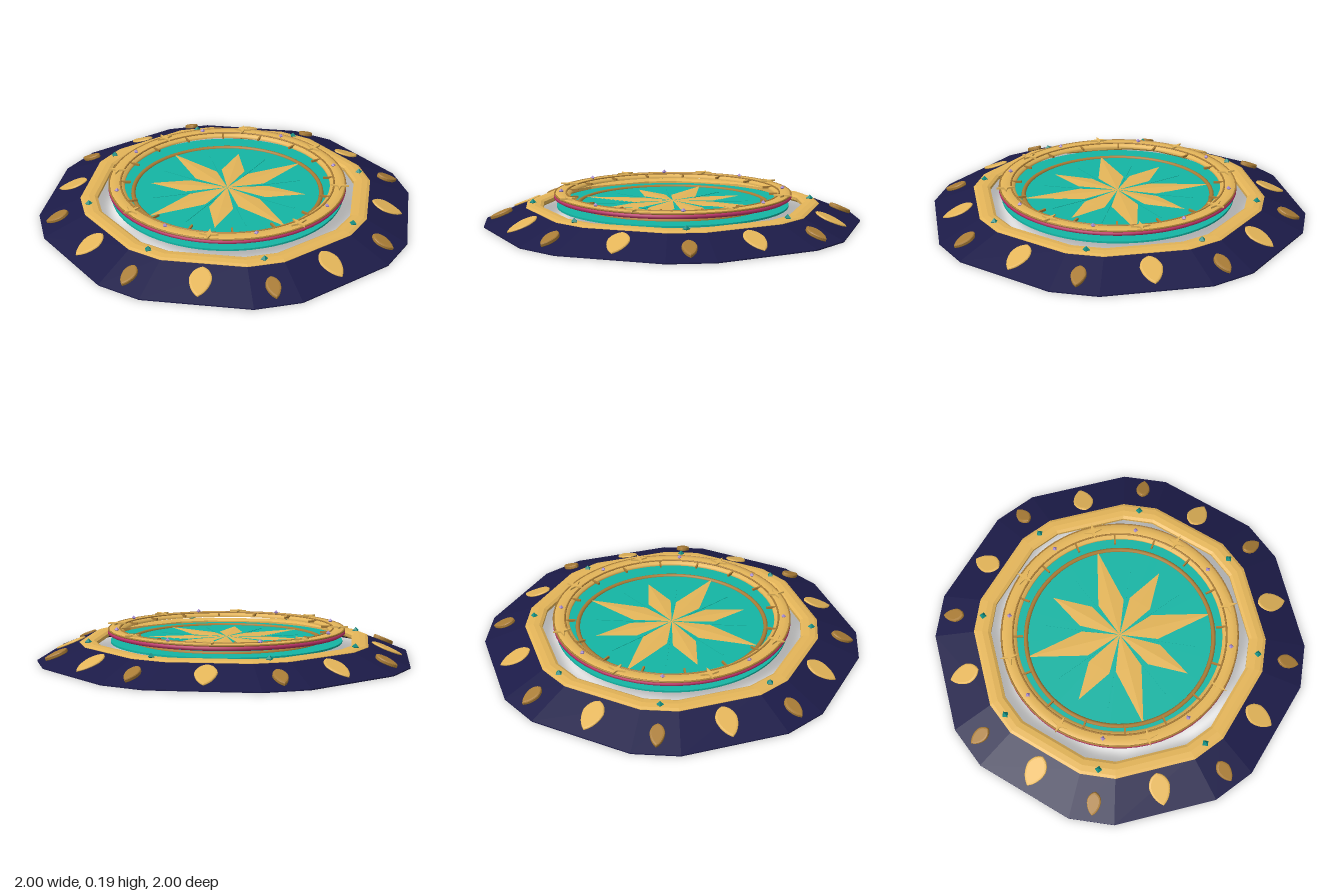
import * as THREE from 'three';

const mat = (name, color) => new THREE.MeshStandardMaterial({ name, color });

export function createModel() {
  const root = new THREE.Group();
  const gold = mat('gold', 0xe4b559);
  const bronze = mat('bronze', 0xa97c36);
  const navy = mat('navy', 0x1c1b48);
  const teal = mat('teal', 0x14b5a4);
  const darkTeal = mat('dark teal', 0x0f8d82);
  const crimson = mat('crimson', 0xbc3468);
  const mauve = mat('mauve', 0xa78bd0);

  const add = (name, geo, material, parent = root) => {
    const m = new THREE.Mesh(geo, material);
    m.name = name;
    parent.add(m);
    return m;
  };
  // Runs fn for n evenly spaced spokes; each spoke group points outward along +z
  const spokes = (name, n, offset, fn) => {
    for (let i = 0; i < n; i++) {
      const g = new THREE.Group();
      g.name = name;
      g.rotation.y = ((i + offset) * Math.PI * 2) / n;
      root.add(g);
      fn(g, i);
    }
  };
  const flat = (points) => {
    const g = new THREE.BufferGeometry();
    g.setAttribute('position', new THREE.Float32BufferAttribute(points.flat(), 3));
    g.computeVertexNormals();
    return g;
  };

  // Ring with the outline of an octagon with cut corners; profile is [apothem, y], anticlockwise
  const half = THREE.MathUtils.degToRad(15.7);
  const angles = [];
  for (let i = 0; i < 8; i++) angles.push((i * Math.PI) / 4 - half, (i * Math.PI) / 4 + half);
  const octRing = (profile) => {
    const out = [];
    const at = (i, j) => {
      const [r, y] = profile[i % profile.length];
      const a = angles[j % 16], R = r / Math.cos(half);
      return [R * Math.sin(a), y, R * Math.cos(a)];
    };
    for (let i = 0; i < profile.length; i++) {
      for (let j = 0; j < 16; j++) {
        const a = at(i, j), b = at(i, j + 1), c = at(i + 1, j + 1), d = at(i + 1, j);
        out.push(a, b, c, a, c, d);
      }
    }
    return flat(out);
  };
  const lathe = (pts) =>
    new THREE.LatheGeometry([...pts, pts[0]].map(([r, y]) => new THREE.Vector2(r, y)), 64);
  const hoop = (name, r, tube, y, material) => {
    const m = add(name, new THREE.TorusGeometry(r, tube, 8, 72), material);
    m.rotation.x = Math.PI / 2;
    m.position.y = y;
  };
  // Thin rod running round a closed outline
  const outline = (pts, radius) => {
    const path = new THREE.CurvePath();
    pts.forEach((p, i) => path.add(new THREE.LineCurve3(p, pts[(i + 1) % pts.length])));
    return new THREE.TubeGeometry(path, 48, radius, 5, true);
  };

  // Sloping base and its raised inner border
  add('slopingBase', octRing([[1, 0], [1, 0.006], [0.76, 0.106], [0.76, 0.096], [0.98, 0]]), navy);
  add('innerBorder', octRing([
    [0.78, 0.08], [0.78, 0.1], [0.765, 0.107], [0.735, 0.111],
    [0.705, 0.108], [0.69, 0.099], [0.69, 0.083], [0.705, 0.07], [0.735, 0.066],
  ]), gold);

  // Leaf studs lying on the slope, pointed end outward (-y of the shape)
  const slope = Math.atan2(0.1, 0.24);
  const leafShape = (w, l) => {
    const s = new THREE.Shape();
    s.moveTo(0, -l);
    s.bezierCurveTo(w * 0.6, -l * 0.75, w, -l * 0.2, w, l * 0.25);
    s.quadraticCurveTo(w * 0.8, l * 0.85, 0, l);
    s.quadraticCurveTo(-w * 0.8, l * 0.85, -w, l * 0.25);
    s.bezierCurveTo(-w, -l * 0.2, -w * 0.6, -l * 0.75, 0, -l);
    return s;
  };
  const leafGeo = (w, l, depth) => new THREE.ExtrudeGeometry(leafShape(w - 0.01, l - 0.01), {
    depth, bevelThickness: 0.006, bevelSize: 0.01, bevelSegments: 2, curveSegments: 8,
  });
  const placeLeaf = (m, y, r) => {
    m.rotation.x = -Math.PI / 2 + slope;
    m.position.set(0, y, r);
  };
  const bigLeaf = leafGeo(0.057, 0.088, 0.002);
  const smallLeaf = leafGeo(0.038, 0.062, 0.012);
  const rimPts = leafShape(0.053, 0.084).getPoints(6).slice(0, -1)
    .map((p) => new THREE.Vector3(p.x, p.y, 0));
  const leafRim = outline(rimPts, 0.008);
  spokes('largeLeaf', 8, 0, (g) => {
    placeLeaf(add('leaf', bigLeaf, gold, g), 0.058, 0.882);
    placeLeaf(add('leafRim', leafRim, gold, g), 0.047, 0.88);
  });
  spokes('smallLeaf', 8, 0.5, (g) => placeLeaf(add('leaf', smallLeaf, bronze, g), 0.047, 0.94));

  // Green gems on the border
  const gem = new THREE.OctahedronGeometry(0.02);
  spokes('borderGem', 8, 0.5, (g) => {
    add('gem', gem, darkTeal, g).position.set(0, 0.112, 0.77);
  });

  // Central disc with its inner hoop and faint raised rays
  const disc = add('disc', new THREE.CylinderGeometry(0.64, 0.64, 0.01, 72), teal);
  disc.position.y = 0.095;
  hoop('innerHoop', 0.52, 0.013, 0.098, bronze);
  spokes('ray', 8, 0.5, (g) => {
    add('rayLine', new THREE.BoxGeometry(0.007, 0.004, 0.3), teal, g).position.set(0, 0.1005, 0.27);
  });

  // Eight-armed star: low ridged kites with a rod under each edge
  const kite = (tip, w, mid) => {
    const c = [0, 0.111, 0], t = [0, 0.103, tip], ridge = [0, 0.109, mid];
    const a = [w, 0.103, mid], b = [-w, 0.103, mid];
    return flat([c, ridge, a, ridge, t, a, c, b, ridge, ridge, b, t]);
  };
  spokes('starArm', 8, 0, (g, i) => {
    const [tip, w, mid] = i % 2 ? [0.435, 0.066, 0.22] : [0.525, 0.073, 0.2];
    add('arm', kite(tip, w, mid), gold, g);
    const pts = [[0, 0.15], [w - 0.004, mid], [0, tip - 0.03], [0.004 - w, mid]];
    add('armEdge', outline(pts.map(([x, z]) => new THREE.Vector3(x, 0.0935, z)), 0.007), gold, g);
  });

  // Floating ring: crimson belt, gold face and thin rims
  add('ringBelt', lathe([
    [0.62, 0.137], [0.645, 0.135], [0.655, 0.141], [0.655, 0.153], [0.645, 0.158], [0.62, 0.158],
  ]), crimson);
  add('ringFace', lathe([
    [0.566, 0.142], [0.62, 0.142], [0.648, 0.157], [0.648, 0.164], [0.62, 0.168], [0.59, 0.165], [0.566, 0.156],
  ]), gold);
  hoop('outerRim', 0.65, 0.005, 0.162, bronze);
  hoop('innerRim', 0.588, 0.005, 0.165, bronze);
  spokes('tick', 16, 0.5, (g) => {
    add('tickBar', new THREE.BoxGeometry(0.01, 0.012, 0.058), bronze, g).position.set(0, 0.158, 0.56);
  });

  // Four-pointed stars and small gems on the ring
  const starShape = new THREE.Shape();
  for (let i = 0; i < 8; i++) {
    const r = i % 2 ? 0.014 : 0.05, a = (i * Math.PI) / 4;
    starShape[i ? 'lineTo' : 'moveTo'](r * Math.cos(a), r * Math.sin(a));
  }
  const starGeo = new THREE.ExtrudeGeometry(starShape, { depth: 0.01, bevelEnabled: false });
  spokes('ringStar', 8, 0, (g) => {
    const s = add('star', starGeo, gold, g);
    s.rotation.x = -Math.PI / 2;
    s.position.set(0, 0.168, 0.62);
  });
  const bead = new THREE.OctahedronGeometry(0.014);
  spokes('ringGem', 8, 0.5, (g) => {
    add('gem', bead, mauve, g).position.set(0, 0.173, 0.615);
  });

  return root;
}
